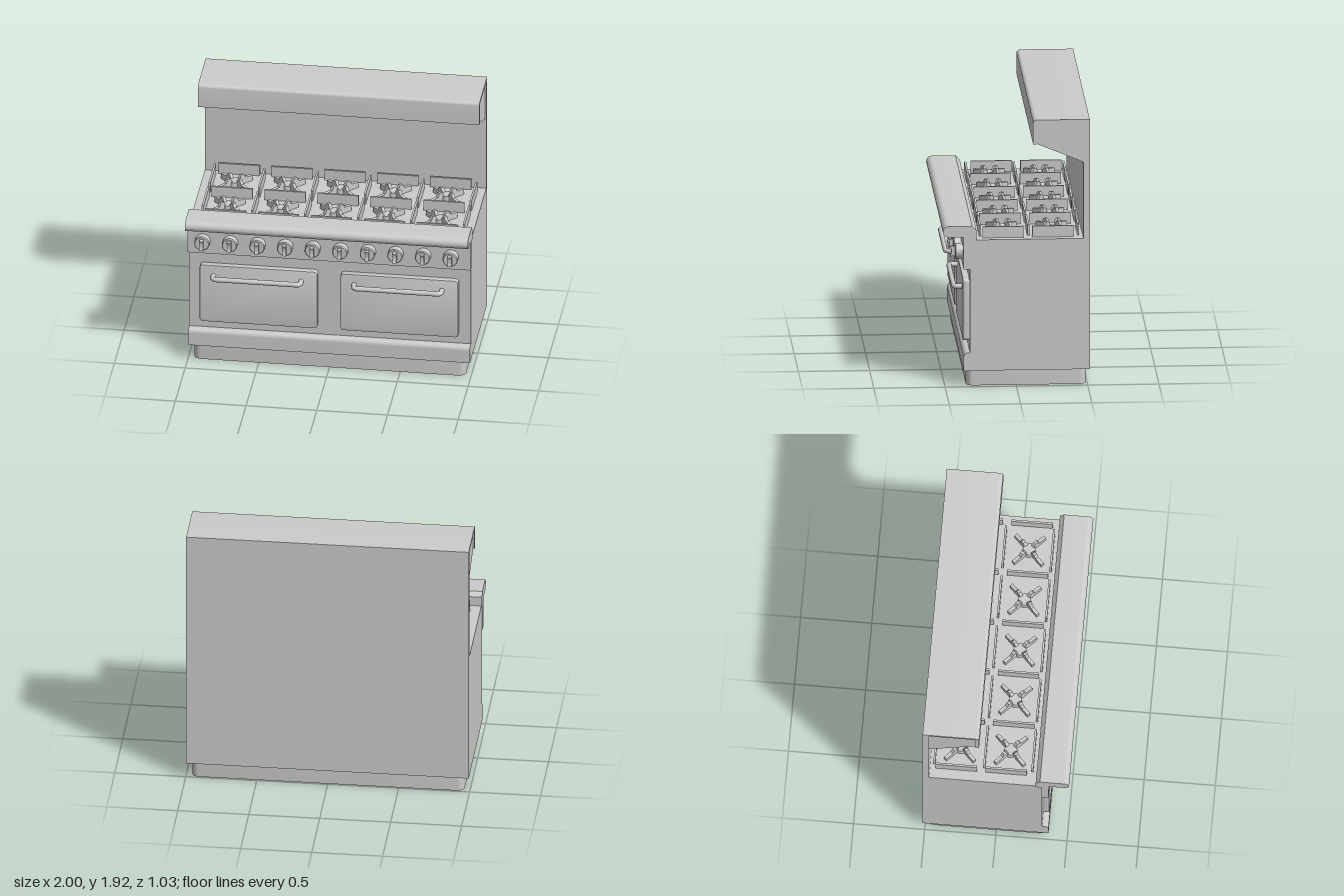
import * as THREE from 'three';
import { toCreasedNormals } from 'three/addons/utils/BufferGeometryUtils.js';

const material = new THREE.MeshStandardMaterial({ color: 0xcccccc, side: THREE.DoubleSide });

function part(parent, name, geometry, x = 0, y = 0, z = 0) {
  const mesh = new THREE.Mesh(geometry, material);
  mesh.name = name;
  mesh.position.set(x, y, z);
  parent.add(mesh);
  return mesh;
}

// Side profile drawn in (z, y), swept along x and centred.
function sweepX(shape, width) {
  const g = new THREE.ExtrudeGeometry(shape, { depth: width, bevelEnabled: false, curveSegments: 10 });
  g.rotateY(-Math.PI / 2);
  g.translate(width / 2, 0, 0);
  return toCreasedNormals(g, 0.6);
}

const polygon = (points) => new THREE.Shape(points.map(([a, b]) => new THREE.Vector2(a, b)));

function roundedRect(w, h, r, Type = THREE.Shape) {
  const s = new Type();
  s.absarc(w / 2 - r, h / 2 - r, r, 0, Math.PI / 2);
  s.absarc(-w / 2 + r, h / 2 - r, r, Math.PI / 2, Math.PI);
  s.absarc(-w / 2 + r, -h / 2 + r, r, Math.PI, Math.PI * 1.5);
  s.absarc(w / 2 - r, -h / 2 + r, r, Math.PI * 1.5, Math.PI * 2);
  s.closePath();
  return s;
}

function addBody(group) {
  // Cabinet, backsplash and rounded kick trim share one profile
  const s = new THREE.Shape();
  s.moveTo(-0.515, 0.115);
  s.lineTo(0.37, 0.115);
  s.lineTo(0.37, 0.21);
  s.absarc(0.335, 0.21, 0.035, 0, Math.PI / 2);
  s.lineTo(0.325, 0.245);
  s.lineTo(0.325, 1.06);
  s.lineTo(-0.47, 1.06);
  s.lineTo(-0.47, 1.92);
  s.lineTo(-0.515, 1.92);
  part(group, 'body', sweepX(s, 1.99));

  // Hollow plinth, open underneath
  const ring = roundedRect(1.92, 0.84, 0.05);
  ring.holes.push(roundedRect(1.91, 0.83, 0.045, THREE.Path));
  const plinth = new THREE.ExtrudeGeometry(ring, { depth: 0.115, bevelEnabled: false, curveSegments: 6 });
  plinth.rotateX(-Math.PI / 2);
  part(group, 'plinth', toCreasedNormals(plinth, 0.6), 0, 0, -0.07);

  // Control panel topped by a bullnose rail
  const p = new THREE.Shape();
  p.moveTo(0.28, 1.05);
  p.lineTo(0.32, 1.05);
  p.lineTo(0.32, 0.85);
  p.lineTo(0.37, 0.85);
  p.lineTo(0.37, 1.08);
  p.lineTo(0.475, 1.08);
  p.absarc(0.475, 1.12, 0.04, -Math.PI / 2, Math.PI / 2);
  p.lineTo(0.31, 1.16);
  p.lineTo(0.28, 1.13);
  part(group, 'controlPanel', sweepX(p, 2));
}

function addHood(group) {
  const s = new THREE.Shape();
  s.moveTo(-0.47, 1.92);
  s.lineTo(-0.47, 1.9);
  s.lineTo(-0.145, 1.9);
  s.lineTo(-0.145, 1.745);
  s.lineTo(-0.118, 1.745);
  s.lineTo(-0.118, 1.895);
  s.absarc(-0.143, 1.895, 0.025, 0, Math.PI / 2);
  part(group, 'hood', sweepX(s, 1.99));

  const bracket = sweepX(polygon([[-0.47, 1.61], [-0.145, 1.745], [-0.145, 1.9], [-0.47, 1.9]]), 0.022);
  for (const side of [-1, 1]) part(group, 'hoodBracket', bracket, side * 0.974);
}

function addDoors(group) {
  const panel = toCreasedNormals(new THREE.ExtrudeGeometry(roundedRect(0.82, 0.435, 0.018), {
    depth: 0.036, bevelEnabled: true, bevelSize: 0.006, bevelThickness: 0.006, bevelSegments: 2, curveSegments: 5,
  }), 0.6);
  // Handle bends back into the door at both ends
  const path = new THREE.CurvePath();
  const v = (x, z) => new THREE.Vector3(x, 0, z);
  path.add(new THREE.LineCurve3(v(-0.31, -0.005), v(-0.31, 0.03)));
  path.add(new THREE.QuadraticBezierCurve3(v(-0.31, 0.03), v(-0.31, 0.058), v(-0.28, 0.058)));
  path.add(new THREE.LineCurve3(v(-0.28, 0.058), v(0.28, 0.058)));
  path.add(new THREE.QuadraticBezierCurve3(v(0.28, 0.058), v(0.31, 0.058), v(0.31, 0.03)));
  path.add(new THREE.LineCurve3(v(0.31, 0.03), v(0.31, -0.005)));
  const handle = new THREE.TubeGeometry(path, 90, 0.018, 12);

  for (const x of [-0.5, 0.495]) {
    const door = new THREE.Group();
    door.name = 'ovenDoor';
    door.position.set(x, 0, 0);
    group.add(door);
    part(door, 'doorPanel', panel, 0, 0.533, 0.328);
    part(door, 'doorHandle', handle, -0.008, 0.677, 0.369);
  }
}

function addKnobs(group) {
  const profile = [[0.054, 0], [0.054, 0.048], [0.048, 0.055], [0, 0.055]];
  const dial = new THREE.LatheGeometry(profile.map(([r, y]) => new THREE.Vector2(r, y)), 24);
  dial.rotateX(Math.PI / 2);
  const dialGeometry = toCreasedNormals(dial, 0.5);
  // Grip with a concave finger edge
  const g = new THREE.Shape();
  g.moveTo(0.04, -0.036);
  g.lineTo(0.088, -0.036);
  g.quadraticCurveTo(0.07, 0, 0.088, 0.036);
  g.lineTo(0.04, 0.036);
  const grip = sweepX(g, 0.028);

  for (let i = 0; i < 10; i++) {
    const knob = new THREE.Group();
    knob.name = 'knob';
    knob.position.set(-0.893 + i * 0.195, 0.95, 0.37);
    group.add(knob);
    part(knob, 'knobDial', dialGeometry);
    part(knob, 'knobGrip', grip);
  }
}

function addCooktop(group) {
  const h = 0.08;
  const acrossBar = new THREE.BoxGeometry(0.29, h, 0.014);
  const alongBar = new THREE.BoxGeometry(0.014, h, 0.29);
  const cap = new THREE.CylinderGeometry(0.045, 0.048, 0.045, 10);
  // Finger: low outer foot rising to a prong near the burner
  const finger = sweepX(polygon([[0.03, 0], [0.145, 0], [0.145, 0.04], [0.085, 0.045], [0.07, 0.075], [0.05, 0.075], [0.03, 0.045]]), 0.024);

  for (let row = 0; row < 2; row++) {
    const z = 0.085 - row * 0.35;
    part(group, 'grateEndBar', alongBar, -0.916, 1.06 + h / 2, z - 0.02);
    for (let col = 0; col < 5; col++) {
      const burner = new THREE.Group();
      burner.name = 'burner';
      burner.position.set(-0.753 + col * 0.374, 1.06, z);
      group.add(burner);
      part(burner, 'burnerCap', cap, 0, 0.0225, 0);
      for (let k = 0; k < 4; k++) {
        part(burner, 'grateFinger', finger).rotation.y = Math.PI / 4 + k * Math.PI / 2;
      }
      part(burner, 'grateSideBar', alongBar, 0.19, h / 2, 0.005);
      part(burner, 'grateBackBar', acrossBar, 0.005, h / 2, -0.175);
      if (row === 0) part(burner, 'grateFrontBar', acrossBar, 0.005, h / 2, 0.163);
    }
  }
}

export function createModel() {
  const group = new THREE.Group();
  group.name = 'kitchenRange';
  addBody(group);
  addHood(group);
  addDoors(group);
  addKnobs(group);
  addCooktop(group);
  return group;
}
